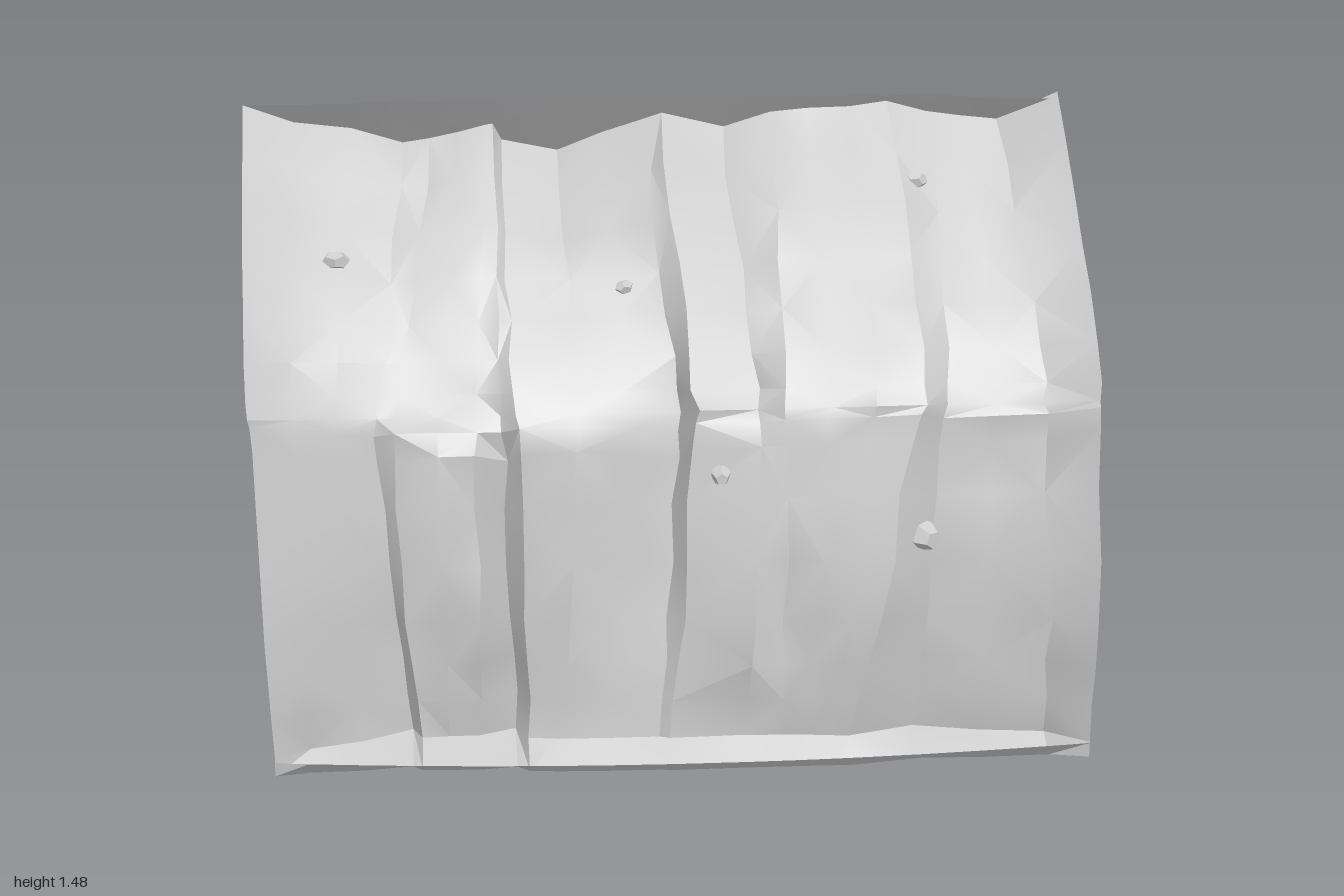
import * as THREE from 'three';
import { toCreasedNormals } from 'three/addons/utils/BufferGeometryUtils.js';

const V = (z, y) => new THREE.Vector3(0, y, z);
// Side profiles: outermost rock face and deepest recess, from bottom to top
const outer = new THREE.CatmullRomCurve3([V(0.43, 0.07), V(0.44, 0.36), V(0.33, 0.8), V(0.285, 0.9), V(0.02, 1.18), V(-0.34, 1.48)], false, 'catmullrom', 0.5);
const inner = new THREE.CatmullRomCurve3([V(0.18, 0.04), V(0.17, 0.33), V(0.15, 0.7), V(0.09, 0.855), V(-0.1, 1.07), V(-0.45, 1.335)], false, 'catmullrom', 0.5);
const LEVELS = 5;

// Rock ridges and clefts: x at bottom, middle, top; then depth (0 outer, 1 inner) at six levels
const ribs = [
  { x: [-0.94, -0.97, -1.0], d: [0.12, 0.15, 0.15, 0.15, 0.05, 0] },
  { x: [-0.86, -0.88, -0.88], d: [0.35, 0.35, 0.4, 0.5, 0.45, 0.35] },
  { x: [-0.63, -0.70, -0.62], d: [0.95, 0.95, 0.95, 0.95, 0.85, 0.8] },
  { x: [-0.61, -0.66, -0.55], d: [0.7, 0.75, 0.72, 1, 0.85, 0.7] },
  { x: [-0.47, -0.46, -0.42], d: [0.65, 0.6, 0.65, 0.95, 0.7, 0.45] },
  { x: [-0.38, -0.40, -0.40], d: [0.95, 0.95, 0.9, 0.8, 0.75, 0.5] },
  { x: [-0.35, -0.37, -0.38], d: [0.62, 0.65, 0.6, 0.7, 0.82, 0.75] },
  { x: [-0.28, -0.22, -0.24], d: [0.55, 0.6, 0.6, 0.75, 0.95, 1] },
  { x: [-0.05, 0.02, -0.03], d: [0.55, 0.7, 1, 0.95, 0.7, 0.4] },
  { x: [-0.02, 0.05, 0.01], d: [0.5, 0.55, 0.5, 0.5, 0.4, 0.3] },
  { x: [0.15, 0.20, 0.17], d: [0.5, 0.45, 0.42, 0.75, 0.7, 0.6] },
  { x: [0.25, 0.25, 0.28], d: [0.45, 0.45, 0.4, 0.45, 0.45, 0.35] },
  { x: [0.40, 0.57, 0.58], d: [0.38, 0.32, 0.3, 0.27, 0.22, 0.15] },
  { x: [0.56, 0.63, 0.68], d: [0.65, 0.62, 0.6, 0.5, 0.5, 0.4] },
  { x: [0.86, 0.86, 0.86], d: [0.35, 0.35, 0.4, 0.4, 0.45, 0.5] },
  { x: [0.95, 0.97, 1.0], d: [0.05, 0, 0.05, 0.05, 0.05, 0] },
];

const lerp = THREE.MathUtils.lerp;
function sample(list, t) {
  const i = Math.min(Math.floor(t), list.length - 2);
  return lerp(list[i], list[i + 1], t - i);
}
// Repeatable jitter in -1..1
function jitter(i, j) {
  const s = Math.sin(i * 127.1 + j * 311.7) * 43758.5453;
  return 2 * (s - Math.floor(s)) - 1;
}

function place(x, depth, t) {
  const p = outer.getPoint(t).lerp(inner.getPoint(t), depth);
  // the foot sits slightly further back towards the right-hand end
  return [x, p.y, p.z - 0.03 * (1 - x) * Math.max(0, 1 - t * 1.6)];
}

function wallGeometry() {
  // Split wide spans between ribs into smaller facets
  const columns = [];
  ribs.forEach((rib, k) => {
    const next = ribs[k + 1];
    if (!next) return columns.push([rib, rib, 0]);
    const n = Math.max(1, Math.round((next.x[1] - rib.x[1]) / 0.11));
    for (let s = 0; s < n; s++) columns.push([rib, next, s / n]);
  });

  const rows = LEVELS * 3;
  const positions = [], index = [];
  const width = columns.length;
  const point = (col, t, i, j) => {
    const [a, b, f] = col;
    const inside = i > 0 && i < width - 1;
    const x = lerp(sample(a.x, t * 2), sample(b.x, t * 2), f);
    const depth = lerp(sample(a.d, t * LEVELS), sample(b.d, t * LEVELS), f);
    const wobble = inside ? jitter(i, j) : 0;
    return [x + 0.008 * wobble, THREE.MathUtils.clamp(depth + 0.06 * jitter(j, i), 0, 1)];
  };

  // Bottom lip: front edge, then sagging underside
  columns.forEach((c, i) => {
    const [x, y, z] = place(point(c, 0, i, 0)[0], 0, 0);
    positions.push(x, y - 0.03 * (1 - x * x), z);
  });
  columns.forEach((c, i) => {
    const [x, d] = point(c, 0, i, 0);
    const [, y, z] = place(x, d * 0.4, 0);
    positions.push(x, Math.max(0, y - 0.035 - 0.025 * (1 - x * x)), z);
  });
  // Face of the cliff
  for (let j = 0; j <= rows; j++) {
    columns.forEach((c, i) => {
      const [x, d] = point(c, j / rows, i, j);
      positions.push(...place(x, d, j / rows));
    });
  }
  // Top lip
  columns.forEach((c, i) => {
    const [x, y, z] = place(point(c, 1, i, rows)[0], 0, 1);
    positions.push(x, y - 0.012 * (1 + jitter(i, 9)) * x * x, z);
  });

  for (let j = 0; j < rows + 3; j++) {
    for (let i = 0; i < width - 1; i++) {
      const a = j * width + i, b = a + 1, c = a + width, d = c + 1;
      if ((i + j) % 2) index.push(a, b, d, a, d, c);
      else index.push(a, b, c, b, d, c);
    }
  }
  const g = new THREE.BufferGeometry();
  g.setAttribute('position', new THREE.Float32BufferAttribute(positions, 3));
  g.setIndex(index);
  return toCreasedNormals(g, 0.45);
}

export function createModel() {
  const group = new THREE.Group();
  group.name = 'cliffSection';
  const rock = new THREE.MeshStandardMaterial({ color: 0xcccccc, side: THREE.DoubleSide });
  const wall = new THREE.Mesh(wallGeometry(), rock);
  wall.name = 'rockWall';
  group.add(wall);

  // Small stones stuck in the face
  const stoneMaterial = new THREE.MeshStandardMaterial({ color: 0xcccccc, flatShading: true });
  const ray = new THREE.Raycaster();
  const stones = [[-0.78, 1.14, 0.036], [-0.1, 1.07, 0.026], [0.1, 0.69, 0.03], [0.57, 0.54, 0.045], [0.62, 1.29, 0.03]];
  stones.forEach(([x, y, r], i) => {
    ray.set(new THREE.Vector3(x, y, 2), new THREE.Vector3(0, 0, -1));
    const hit = ray.intersectObject(wall)[0];
    if (!hit) return;
    const stone = new THREE.Mesh(new THREE.DodecahedronGeometry(r), stoneMaterial);
    stone.name = 'stone' + (i + 1);
    stone.position.copy(hit.point);
    stone.scale.set(1, 0.65, 0.8);
    stone.rotation.set(0.3 * i, 0.8 * i, 0.25 * jitter(i, 3));
    group.add(stone);
  });
  return group;
}
